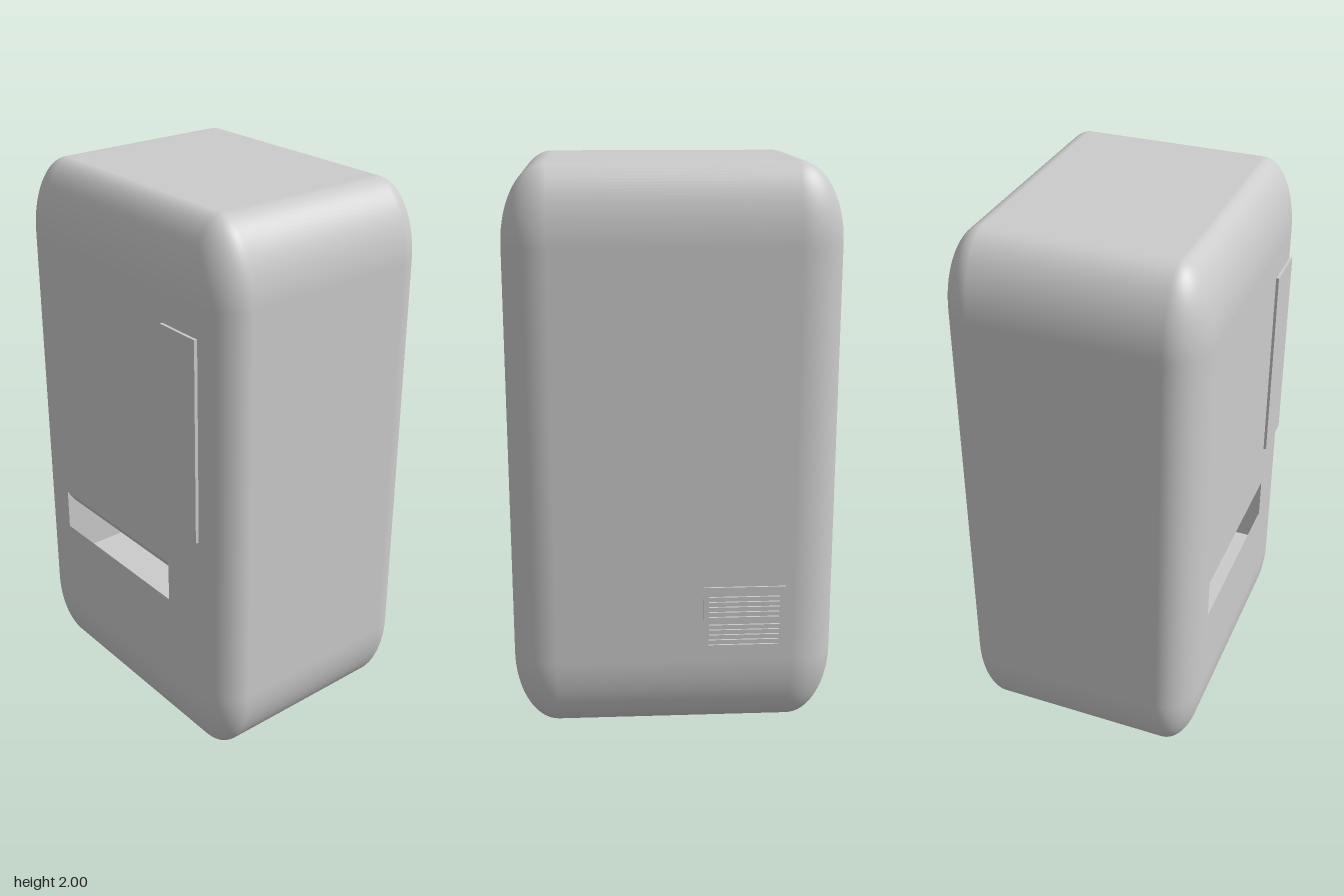
import * as THREE from 'three';
import { RoundedBoxGeometry } from 'three/addons/geometries/RoundedBoxGeometry.js';

const HX = 0.57, HY = 1, HZ = 0.445; // half sizes of the body
const ROUND = 0.27;                  // edge radius as a share of the half size
const SLOT = { x0: -0.365, x1: 0.275, y0: 0.58, y1: 0.735 };

const grey = new THREE.MeshStandardMaterial({ color: 0xcccccc });
const greyDouble = new THREE.MeshStandardMaterial({ color: 0xcccccc, side: THREE.DoubleSide });

function add(parent, name, geometry, x = 0, y = 0, z = 0, material = grey) {
  const mesh = new THREE.Mesh(geometry, material);
  mesh.name = name;
  mesh.position.set(x, y, z);
  parent.add(mesh);
  return mesh;
}

// Rectangle outline, used for both shapes and holes
function rect(path, x0, y0, x1, y1) {
  path.moveTo(x0, y0);
  path.lineTo(x1, y0);
  path.lineTo(x1, y1);
  path.lineTo(x0, y1);
  path.closePath();
  return path;
}

// Rounded shell with the flat of its front face left out
function shellGeometry() {
  const source = new RoundedBoxGeometry(2, 2, 2, 10, ROUND);
  source.scale(HX, HY, HZ);
  const p = source.attributes.position, n = source.attributes.normal;
  const positions = [], normals = [];
  for (let i = 0; i < p.count; i += 3) {
    if ([0, 1, 2].every((k) => p.getZ(i + k) > HZ - 1e-4)) continue;
    for (let k = i; k < i + 3; k++) {
      positions.push(p.getX(k), p.getY(k), p.getZ(k));
      normals.push(n.getX(k), n.getY(k), n.getZ(k));
    }
  }
  const g = new THREE.BufferGeometry();
  g.setAttribute('position', new THREE.Float32BufferAttribute(positions, 3));
  g.setAttribute('normal', new THREE.Float32BufferAttribute(normals, 3));
  return g;
}

export function createModel() {
  const model = new THREE.Group();
  model.name = 'vendingCabinet';

  // Body and its front face with the pick-up opening
  add(model, 'body', shellGeometry(), 0, HY, 0);
  const fx = HX * (1 - ROUND), fy = HY * (1 - ROUND);
  const face = rect(new THREE.Shape(), -fx, HY - fy, fx, HY + fy);
  face.holes.push(rect(new THREE.Path(), SLOT.x0, SLOT.y0, SLOT.x1, SLOT.y1));
  add(model, 'frontFace', new THREE.ShapeGeometry(face), 0, 0, HZ);

  // Pick-up tray: deeper than the opening, its floor below the lip
  const tray = new THREE.Group();
  tray.name = 'pickupTray';
  model.add(tray);
  const w = SLOT.x1 - SLOT.x0, cx = (SLOT.x0 + SLOT.x1) / 2;
  const floorY = 0.46, depth = 0.3, h = SLOT.y1 - floorY;
  const cy = floorY + h / 2, cz = HZ - depth / 2;
  const wall = (name, a, b, x, y, z, rx, ry) =>
    add(tray, name, new THREE.PlaneGeometry(a, b), x, y, z, greyDouble).rotation.set(rx, ry, 0);
  wall('trayFloor', w, depth, cx, floorY, cz, -Math.PI / 2, 0);
  wall('trayCeiling', w, depth, cx, SLOT.y1, cz, Math.PI / 2, 0);
  wall('trayBack', w, h, cx, cy, HZ - depth, 0, 0);
  for (const [name, x, turn] of [['trayRightWall', SLOT.x0, 1], ['trayLeftWall', SLOT.x1, -1]]) {
    wall(name, depth, h, x, cy, cz, 0, turn * Math.PI / 2);
  }
  wall('trayFront', w, SLOT.y0 - floorY, cx, (SLOT.y0 + floorY) / 2, HZ - 0.002, 0, Math.PI);

  // Short flap leaning in from the top of the opening
  const drop = 0.045, lean = 0.03;
  wall('flap', w, Math.hypot(drop, lean), cx, SLOT.y1 - drop / 2, HZ - lean / 2, Math.atan2(lean, drop), 0);

  // Raised control panel
  add(model, 'controlPanel', new THREE.BoxGeometry(0.175, 0.73, 0.03), 0.3575, 1.265, 0.44);

  // Rear vent plate with two sets of slits
  const plate = rect(new THREE.Shape(), -0.39, 0.3, -0.1, 0.55);
  for (const top of [0.52, 0.415]) {
    for (let i = 0; i < 5; i++) {
      const y = top - i * 0.019;
      plate.holes.push(rect(new THREE.Path(), -0.37, y - 0.007, -0.12, y));
    }
  }
  const vent = new THREE.ExtrudeGeometry(plate, { depth: 0.008, bevelEnabled: false });
  add(model, 'rearVent', vent, 0, 0, -0.452);

  return model;
}
